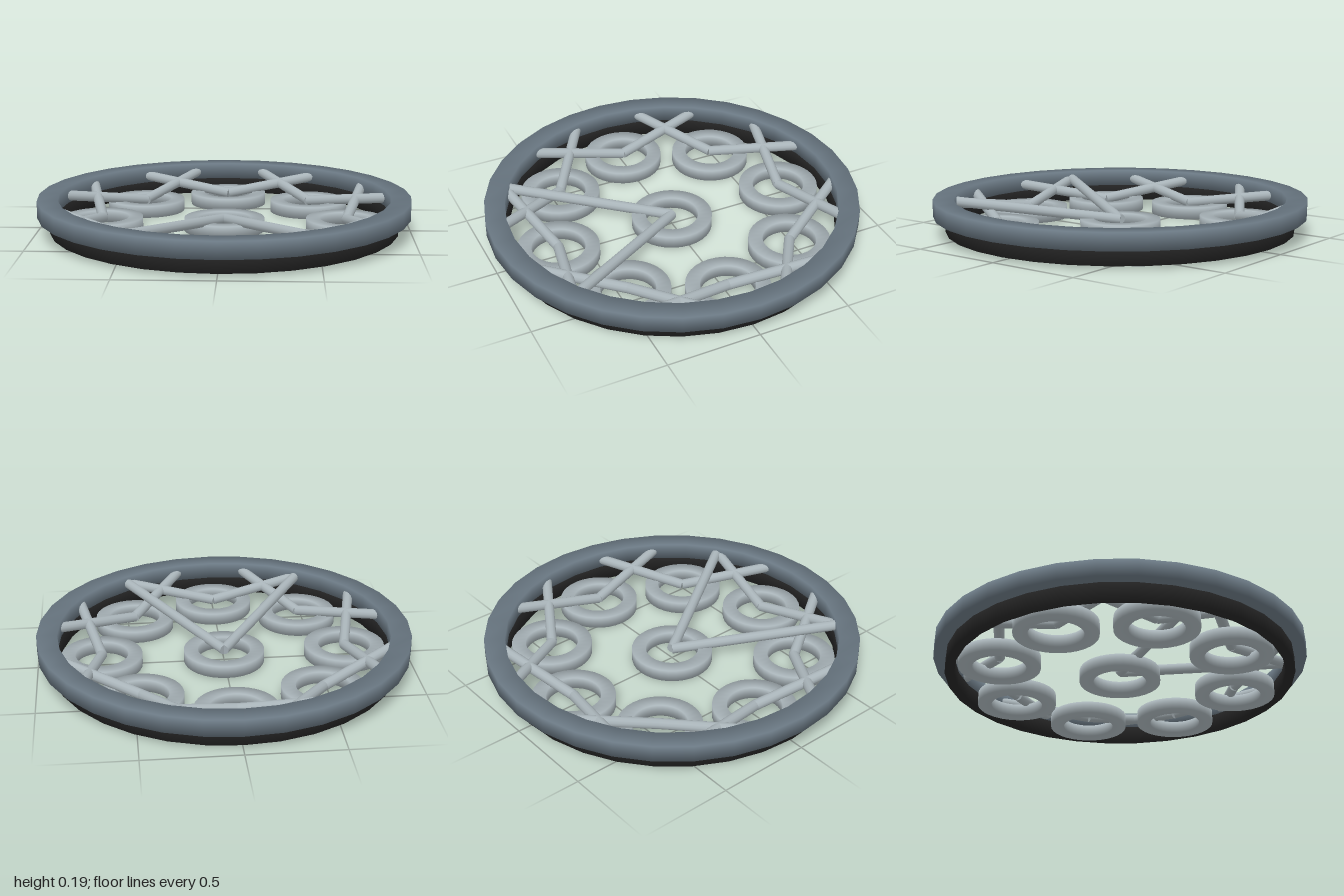
import * as THREE from 'three';
import { mergeVertices } from 'three/addons/utils/BufferGeometryUtils.js';

const rimGrey = new THREE.MeshStandardMaterial({ name: 'slate grey', color: 0x6a7883 });
const silver = new THREE.MeshStandardMaterial({ name: 'pale silver', color: 0xa9b4b9 });
const black = new THREE.MeshStandardMaterial({ name: 'black', color: 0x222222 });

// Ring with a rectangular section and softly blended normals
function ringGeometry(inner, outer, y0, y1, segments) {
  const profile = [[inner, y0], [outer, y0], [outer, y1], [inner, y1], [inner, y0]]
    .map(([r, y]) => new THREE.Vector2(r, y));
  const lathe = new THREE.LatheGeometry(profile, segments);
  lathe.deleteAttribute('normal');
  lathe.deleteAttribute('uv');
  const geometry = mergeVertices(lathe, 1e-4);
  geometry.computeVertexNormals();
  return geometry;
}

function addMesh(parent, name, geometry, material) {
  const mesh = new THREE.Mesh(geometry, material);
  mesh.name = name;
  parent.add(mesh);
  return mesh;
}

// Straight round bar between two points
function addRod(parent, name, from, to) {
  const a = new THREE.Vector3(...from);
  const b = new THREE.Vector3(...to);
  const dir = b.clone().sub(a);
  const rod = addMesh(parent, name, new THREE.CylinderGeometry(0.028, 0.028, dir.length(), 12), silver);
  rod.position.copy(a).add(b).multiplyScalar(0.5);
  rod.quaternion.setFromUnitVectors(new THREE.Vector3(0, 1, 0), dir.normalize());
}

export function createModel() {
  const model = new THREE.Group();
  model.name = 'ringTray';

  // Outer rim and the darker band beneath it
  addMesh(model, 'outerRim', ringGeometry(0.89, 1, 0.1, 0.19, 32), rimGrey);
  addMesh(model, 'lowerBand', ringGeometry(0.885, 0.935, 0.015, 0.1, 32), black);

  // Eight small rings, each held by a pair of spread rods
  const smallRing = ringGeometry(0.142, 0.217, 0, 0.066, 32);
  for (let i = 0; i < 8; i++) {
    const holder = new THREE.Group();
    holder.name = 'ringHolder';
    holder.rotation.y = i * Math.PI / 4;
    addMesh(holder, 'smallRing', smallRing, silver).position.z = 0.657;
    for (const s of [-1, 1]) {
      addRod(holder, 'supportRod', [0, 0.06, 0.657], [s * 0.5, 0.14, 0.768]);
    }
    model.add(holder);
  }

  // Centre ring with two long rods to the front of the rim
  addMesh(model, 'centreRing', smallRing, silver);
  for (const s of [-1, 1]) {
    addRod(model, 'centreRod', [0, 0.06, 0], [s * 0.49, 0.145, 0.745]);
  }
  return model;
}
